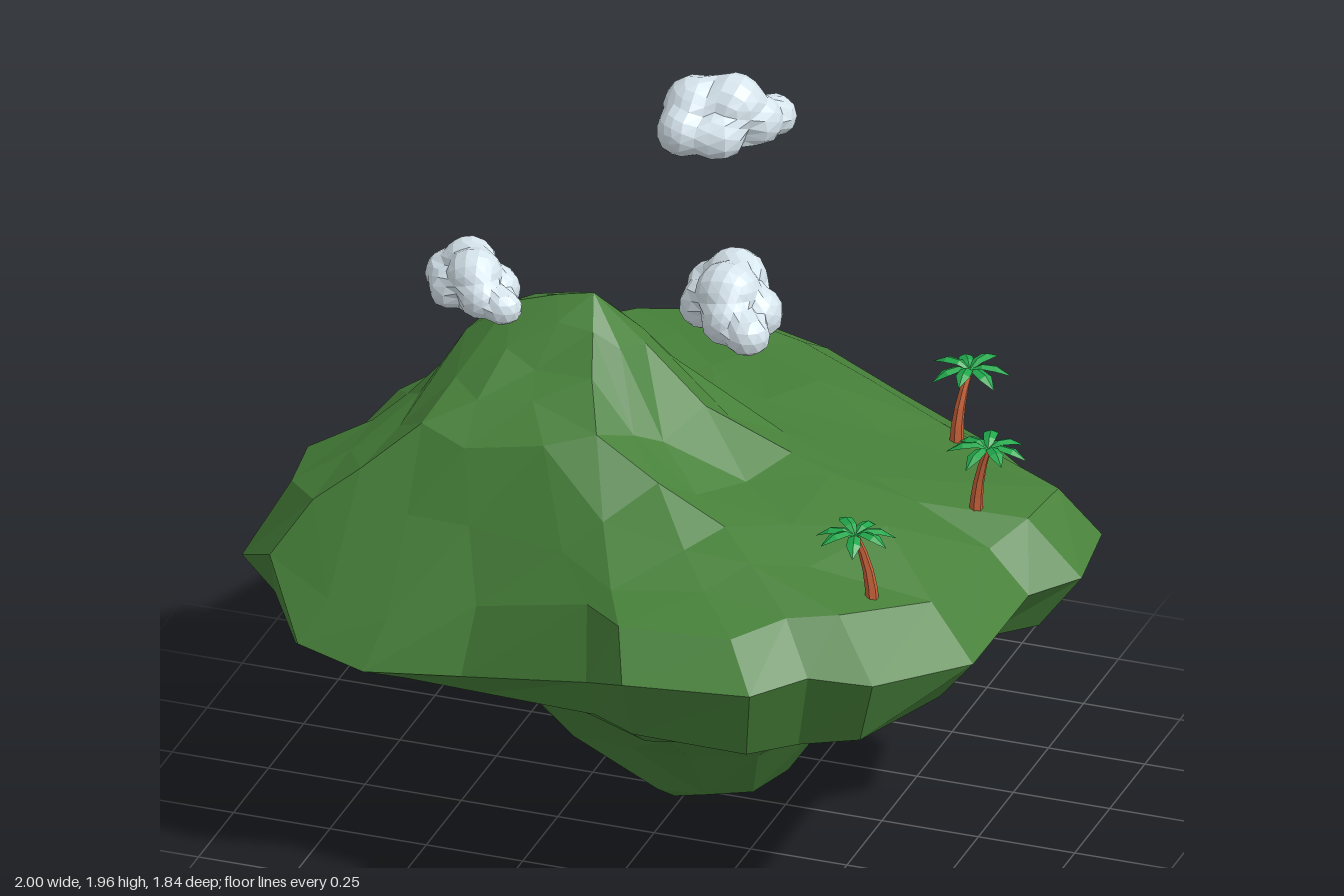
import * as THREE from 'three';

const mat = (color, side = THREE.FrontSide) =>
  new THREE.MeshStandardMaterial({ color, flatShading: true, roughness: 1, side });
const grass = mat(0x47813a), cloudMat = mat(0xd6e4ec);
const bark = mat(0xc8623a), leafMat = mat(0x22a84c, THREE.DoubleSide);

// Small seeded jitter in -1..1
let seed = 7;
const jitter = () => {
  seed = (seed * 16807) % 2147483647;
  return (seed / 2147483647) * 2 - 1;
};

// Piecewise linear lookup in [[key, value], ...]
function lookup(table, k) {
  if (k <= table[0][0]) return table[0][1];
  for (let i = 1; i < table.length; i++) {
    const [a, va] = table[i - 1], [b, vb] = table[i];
    if (k <= b) return va + (vb - va) * (k - a) / (b - a);
  }
  return table[table.length - 1][1];
}

// Island rim: x, z, y, clockwise seen from above
const RIM = [
  [-1, .16, .68], [-.9, .06, .72], [-.87, -.1, .75], [-.81, -.25, .76], [-.69, -.62, .79],
  [-.43, -.84, .81], [-.22, -.92, .82], [.06, -.82, .82], [.31, -.66, .82], [.62, -.5, .8],
  [.98, -.25, .75], [1, -.05, .73], [.91, .08, .73], [.9, .45, .72], [.73, .7, .75],
  [.58, .75, .77], [.48, .89, .77], [.16, .92, .76], [.02, .79, .68], [-.33, .72, .6],
  [-.57, .76, .59], [-.75, .73, .62], [-.87, .6, .78], [-1, .44, .68],
];
// Mountain rise above the plateau, along x and along z
const RISE_X = [[-.86, 0], [-.7, .1], [-.6, .2], [-.54, .31], [-.42, .43], [-.3, .48], [-.2, .49],
  [-.13, .46], [0, .25], [.15, .17], [.18, .12], [.4, .07], [.8, 0]];
const RISE_Z = [[-.75, 0], [-.5, .03], [-.3, .07], [-.17, .14], [-.13, .24], [-.07, .3], [.07, .47],
  [.13, .49], [.27, .36], [.35, .31], [.47, .25], [.57, .09], [.7, 0]];

function rimAt(u) {
  const f = (u % 1) * RIM.length, i = Math.floor(f) % RIM.length;
  const a = RIM[i], b = RIM[(i + 1) % RIM.length];
  return a.map((v, k) => v + (b[k] - v) * (f - Math.floor(f)));
}

// Underside ring; the keel stretches diagonally as it narrows
function lowerRing(count, s, y) {
  const cx = .06 + .03 * (1 - s), cz = -.03 - .03 * (1 - s), skew = .35 * Math.max(0, .6 - s);
  return Array.from({ length: count }, (_, i) => {
    const [rx, rz, ry] = rimAt(i / count);
    const k = s * (1 + .05 * jitter()) * (1 + (s > .8 ? .07 * Math.max(0, rz) : 0));
    const dx = (rx - cx) * k, dz = (rz - cz) * k, d = (dx - dz) * skew;
    const x = cx + dx + d, z = cz + dz - d;
    const slope = s > .8 ? .07 * Math.max(0, -z) : .09 * Math.abs(x) * Math.min(1, s * 1.5);
    const bump = .028 * jitter() * Math.min(1, s * 3);
    return [x, Math.min(y + slope + bump, ry - .05), z];
  });
}

// Ground height ring; the front of the mountain has a broad shoulder
function upperRing(count, t) {
  return Array.from({ length: count }, (_, i) => {
    const [rx, rz, ry] = rimAt(i / count);
    const k = t * (1 + .04 * jitter());
    const x = -.2 + (rx + .2) * k, z = .13 + (rz - .13) * k;
    const power = ry < .66 ? 4.5 : 13;
    const base = ry + (.905 - ry) * (1 - Math.pow(k, power));
    const a = lookup(RISE_X, x), b = lookup(RISE_Z, z), shoulder = z > .13 ? .45 : .1;
    const rise = (1 - shoulder) * a * b / .49 + shoulder * Math.min(a, b);
    return [x, base + rise + .018 * jitter(), z];
  });
}

// Join rings of different counts, from bottom tip to peak
function ringsGeometry(rings) {
  const pos = [];
  for (let r = 0; r + 1 < rings.length; r++) {
    const A = rings[r], B = rings[r + 1];
    const na = A.length > 1 ? A.length : 0, nb = B.length > 1 ? B.length : 0;
    let i = 0, j = 0;
    while (i < na || j < nb) {
      const a = A[i % A.length], b = B[j % B.length];
      if (j >= nb || (i < na && (i + .5) / na <= (j + .5) / nb)) {
        pos.push(...a, ...b, ...A[++i % A.length]);
      } else {
        pos.push(...a, ...b, ...B[++j % B.length]);
      }
    }
  }
  const g = new THREE.BufferGeometry();
  g.setAttribute('position', new THREE.Float32BufferAttribute(pos, 3));
  g.computeVertexNormals();
  return g;
}

function makeIsland() {
  const rings = [
    [[-.02, 0, .05]],
    lowerRing(7, .13, .035), lowerRing(10, .275, .2), lowerRing(14, .43, .345),
    lowerRing(18, .65, .44), lowerRing(24, .87, .555),
    RIM.map(([x, z, y]) => [x, y, z]),
    upperRing(24, .88), upperRing(21, .72), upperRing(18, .56),
    upperRing(15, .4), upperRing(12, .26), upperRing(8, .12),
    [[-.2, 1.39, .13]],
  ];
  const island = new THREE.Mesh(ringsGeometry(rings), grass);
  island.name = 'floatingIsland';
  return island;
}

// One folded, drooping leaf along +x
function leafGeometry() {
  const stations = [[0, 0, .004], [.03, .014, .015], [.065, .01, .018], [.1, -.016, .001]];
  const pos = [], index = [];
  stations.forEach(([x, y, w]) => pos.push(x, y - w * .4, -w, x, y, 0, x, y - w * .4, w));
  for (let s = 0; s < 3; s++) for (let k = 0; k < 2; k++) {
    const a = s * 3 + k;
    index.push(a, a + 1, a + 3, a + 1, a + 4, a + 3);
  }
  const g = new THREE.BufferGeometry();
  g.setAttribute('position', new THREE.Float32BufferAttribute(pos, 3));
  g.setIndex(index);
  g.computeVertexNormals();
  return g;
}

function makePalm([x, y, z], [cx, cy, cz], turn) {
  const palm = new THREE.Group();
  palm.name = 'palmTree';
  const h = cy - y + .03;
  const g = new THREE.CylinderGeometry(.009, .018, h, 6, 4);
  const p = g.attributes.position;
  for (let i = 0; i < p.count; i++) {
    const t = p.getY(i) / h + .5;
    p.setXYZ(i, p.getX(i) + (cx - x) * t * t, t * h - .03, p.getZ(i) + (cz - z) * t * t);
  }
  g.computeVertexNormals();
  const trunk = new THREE.Mesh(g, bark);
  trunk.name = 'palmTrunk';
  const crown = new THREE.Group();
  crown.name = 'palmCrown';
  crown.position.set(cx - x, cy - y, cz - z);
  const leafShape = leafGeometry();
  for (let i = 0; i < 7; i++) {
    const leaf = new THREE.Mesh(leafShape, leafMat);
    leaf.name = 'palmLeaf';
    leaf.rotation.set(0, turn + i * Math.PI * 2 / 7, .15 * (i % 2), 'YXZ');
    crown.add(leaf);
  }
  palm.add(trunk, crown);
  palm.position.set(x, y, z);
  return palm;
}

// Lobes of a cloud: x, y, z, radius
const LOBES = [[0, 0, 0, .075], [-.105, -.012, .015, .07], [-.06, .026, -.025, .08], [.02, .032, .015, .082],
  [-.035, -.02, .055, .068], [.04, -.02, -.045, .072], [.075, -.012, .03, .068], [.138, -.028, 0, .056]];

// One skin pushed out from the centre to the farthest lobe, with a flattened base
function cloudGeometry() {
  const g = new THREE.IcosahedronGeometry(1, 4);
  const p = g.attributes.position, d = new THREE.Vector3(), c = new THREE.Vector3();
  for (let i = 0; i < p.count; i++) {
    d.fromBufferAttribute(p, i);
    d.x *= 1.7;
    d.normalize();
    let reach = 0;
    for (const [x, y, z, r] of LOBES) {
      const along = d.dot(c.set(x, y, z)), disc = along * along - c.lengthSq() + r * r;
      if (disc >= 0) reach = Math.max(reach, along + Math.sqrt(disc));
    }
    d.multiplyScalar(reach);
    if (d.y < -.05) d.y = -.05 + (d.y + .05) * .7;
    p.setXYZ(i, d.x, d.y, d.z);
  }
  g.computeVertexNormals();
  return g;
}

function makeCloud(geometry, x, y, z, turn, size) {
  const cloud = new THREE.Mesh(geometry, cloudMat);
  cloud.name = 'cloud';
  cloud.position.set(x, y, z);
  cloud.rotation.y = turn;
  cloud.scale.setScalar(size);
  return cloud;
}

export function createModel() {
  seed = 7;
  const model = new THREE.Group();
  model.name = 'floatingIslandScene';
  const puff = cloudGeometry();
  model.add(
    makeIsland(),
    makePalm([.57, .92, -.34], [.59, 1.07, -.38], .3),
    makePalm([.74, .91, -.01], [.775, 1.07, 0], .9),
    makePalm([.655, .89, .495], [.62, 1.06, .52], 1.4),
    makeCloud(puff, .078, 1.85, -.022, .75, 1),
    makeCloud(puff, .308, 1.657, .54, -.95, 1),
    makeCloud(puff, -.437, 1.475, .327, -.6, .85),
  );
  return model;
}
